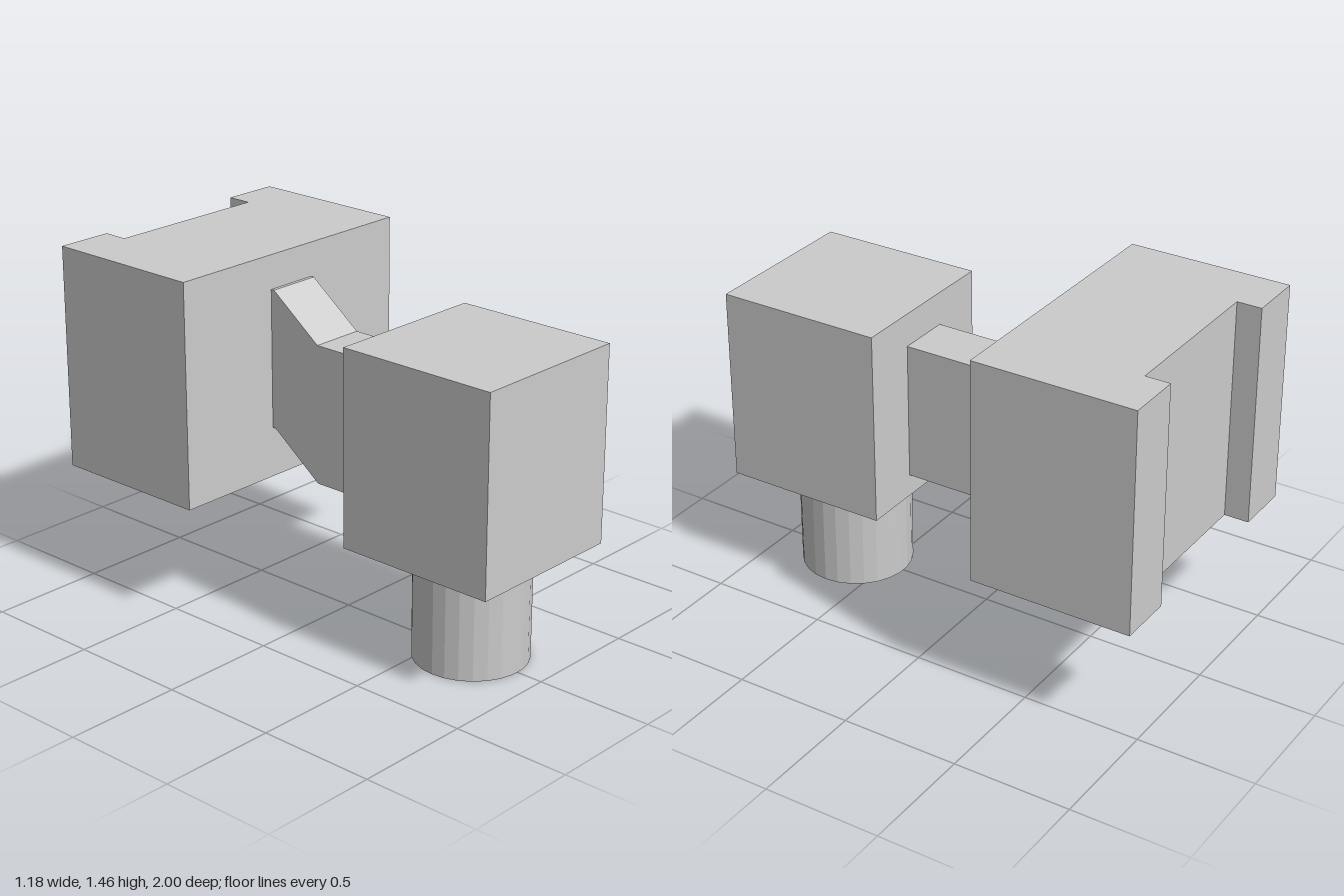
import * as THREE from 'three';

const material = new THREE.MeshStandardMaterial({ color: 0xcccccc, flatShading: true });

// Prism from a closed outline of [a, b] points
function prism(points, depth) {
  const shape = new THREE.Shape(points.map(([a, b]) => new THREE.Vector2(a, b)));
  return new THREE.ExtrudeGeometry(shape, { depth, bevelEnabled: false });
}

export function createModel() {
  const group = new THREE.Group();
  const add = (name, geometry) => {
    const mesh = new THREE.Mesh(geometry, material);
    mesh.name = name;
    group.add(mesh);
  };

  // Round peg under the front block
  add('peg', new THREE.CylinderGeometry(0.235, 0.235, 0.465, 26, 1, false, Math.PI / 2)
    .translate(0, 0.2325, 0.65));

  // Front block
  add('frontBlock', new THREE.BoxGeometry(0.706, 0.82, 0.705).translate(0, 0.875, 0.6475));

  // Stepped arm, outlined as [-z, y] and extruded across x
  const armWidth = 0.23;
  add('arm', prism([
    [-0.295, 0.56], [0.06, 0.56], [0.293, 0.735], [0.308, 0.735],
    [0.308, 1.32], [0.293, 1.32], [0.06, 1.145], [-0.295, 1.145],
  ], armWidth).rotateY(Math.PI / 2).translate(-armWidth / 2, 0, 0));

  // Rear block with a vertical channel, outlined as [x, -z] and extruded up
  add('rearBlock', prism([
    [-0.59, 0.308], [0.59, 0.308], [0.59, 1], [0.353, 1],
    [0.353, 0.895], [-0.353, 0.895], [-0.353, 1], [-0.59, 1],
  ], 0.94).rotateX(-Math.PI / 2).translate(0, 0.523, 0));

  return group;
}
